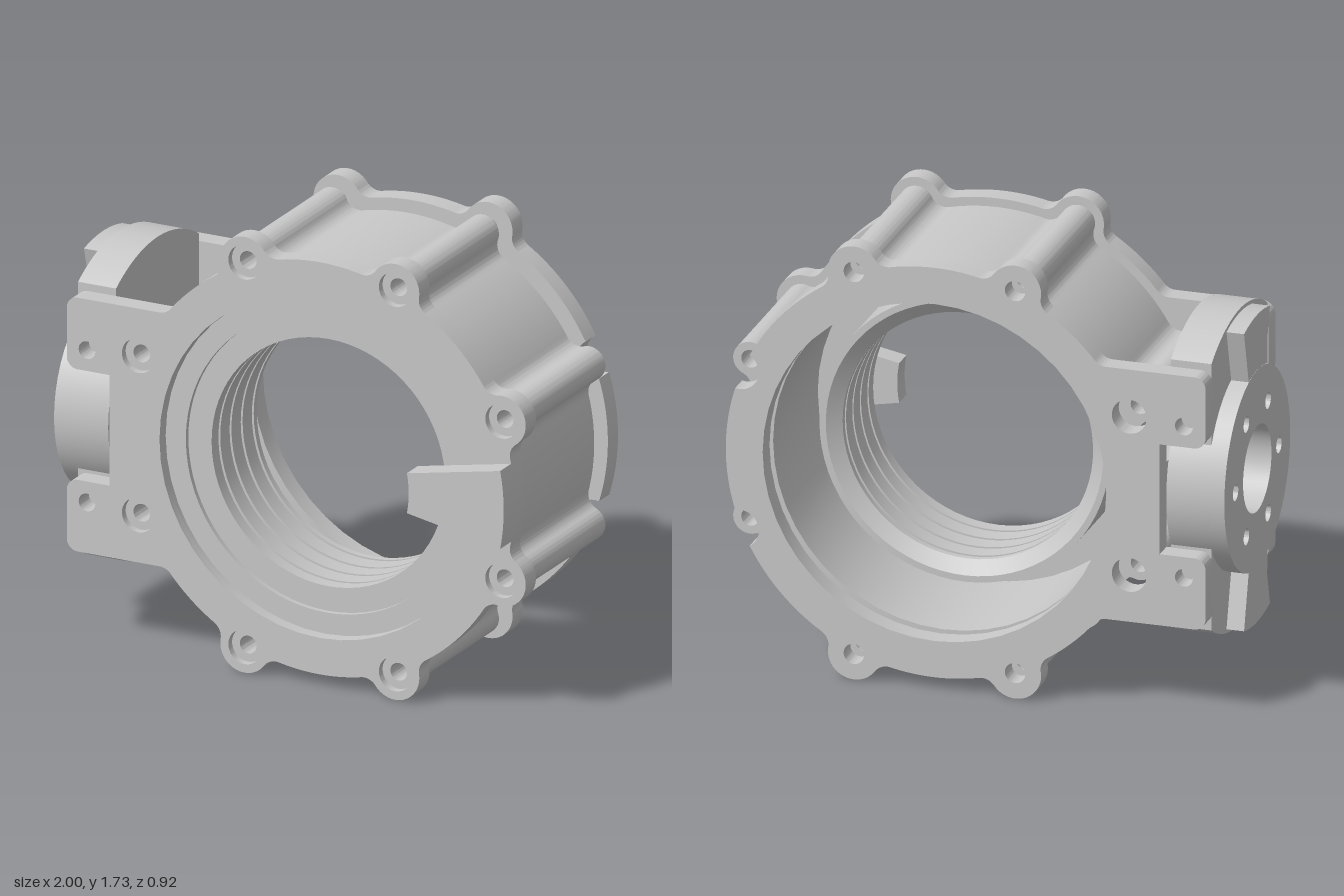
import * as THREE from 'three';
import { toCreasedNormals } from 'three/addons/utils/BufferGeometryUtils.js';

const PI = Math.PI;
const rad = (d) => d * PI / 180;
const BOLT = 0.828;                       // bolt circle radius
const BORE = 0.675;                       // cavity radius
const polar = (r, a) => [r * Math.cos(a), r * Math.sin(a)];
const dir = (a, b) => Math.atan2(b[1] - a[1], b[0] - a[0]);
const boltAngle = (k) => rad(22.5 + 45 * k);

// Rounded screw lobe blended into a ring; returns the angle where the ring resumes
function addLobe(s, from, a, R, r, f) {
  const phi = Math.acos((BOLT ** 2 + (R + f) ** 2 - (r + f) ** 2) / (2 * BOLT * (R + f)));
  const L = polar(BOLT, a), A = polar(R + f, a - phi), B = polar(R + f, a + phi);
  s.absarc(0, 0, R, from, a - phi, false);
  s.absarc(A[0], A[1], f, a - phi + PI, dir(A, L), true);
  s.absarc(L[0], L[1], r, dir(L, A), dir(L, B), false);
  s.absarc(B[0], B[1], f, dir(B, L), a + phi + PI, true);
  return a + phi;
}

// Concave clearance notch cut in a ring
function addNotch(s, from, a, R, n) {
  const phi = Math.acos((BOLT ** 2 + R ** 2 - n ** 2) / (2 * BOLT * R));
  const L = polar(BOLT, a), A = polar(R, a - phi), B = polar(R, a + phi);
  s.absarc(0, 0, R, from, a - phi, false);
  s.absarc(L[0], L[1], n, dir(L, A), dir(L, B), true);
  return a + phi;
}

// Forked arm reaching towards -x
function addArm(s, from, R) {
  const f = 0.06, h = 0.505, n = 0.22, left = -1.065, c = 0.045;
  const cy = h + f, cx = -Math.sqrt((R + f) ** 2 - cy ** 2);
  const a = Math.atan2(cy, cx);
  s.absarc(0, 0, R, from, a, false);
  s.absarc(cx, cy, f, a + PI, 1.5 * PI, true);
  s.absarc(left + c, h - c, c, PI / 2, PI, false);
  s.absarc(left + c, n + c, c, PI, 1.5 * PI, false);
  s.lineTo(-0.885, n);
  s.lineTo(-0.885, -n);
  s.absarc(left + c, -n - c, c, PI / 2, PI, false);
  s.absarc(left + c, -h + c, c, PI, 1.5 * PI, false);
  s.absarc(cx, -cy, f, PI / 2, -a + PI, true);
  return 2 * PI - a;
}

function addHole(s, x, y, r) {
  const p = new THREE.Path();
  p.absarc(x, y, r, 0, 2 * PI, true);
  s.holes.push(p);
}

function plateShape(notched, holeRadius, armHoleRadius) {
  const s = new THREE.Shape(), R = 0.82;
  const lobe = (from, d) => addLobe(s, from, rad(d), R, 0.102, 0.06);
  const side = (from, d) => notched ? addNotch(s, from, rad(d), R, 0.075) : lobe(from, d);
  let a = side(0, 22.5);
  for (const d of [67.5, 112.5]) a = lobe(a, d);
  a = addArm(s, a, R);
  for (const d of [247.5, 292.5]) a = lobe(a, d);
  a = side(a, 337.5);
  s.absarc(0, 0, R, a, 2 * PI, false);
  addHole(s, 0, 0, BORE);
  for (let k = 0; k < 8; k++) {
    if (notched && (k === 0 || k === 7)) continue;
    addHole(s, ...polar(BOLT, boltAngle(k)), k === 3 || k === 4 ? armHoleRadius : holeRadius);
  }
  for (const y of [0.303, -0.303]) addHole(s, -0.98, y, 0.035);
  return s;
}

// Ring with eight lobes, and a rib with an inner keyway on the hub side
function bodyShape() {
  const s = new THREE.Shape(), R = 0.785, half = 0.09;
  let a = 0;
  for (let k = 0; k < 8; k++) {
    a = addLobe(s, a, boltAngle(k), R, 0.067, 0.06);
    if (k === 3) {
      s.absarc(0, 0, R, a, PI - half, false);
      s.lineTo(-0.845, 0.07);
      s.lineTo(-0.845, -0.07);
      a = PI + half;
    }
  }
  s.absarc(0, 0, R, a, 2 * PI, false);
  const cavity = new THREE.Path();
  cavity.absarc(0, 0, BORE, PI - 0.03, -PI + 0.03, true);
  cavity.lineTo(-0.73, -0.02);
  cavity.lineTo(-0.73, 0.02);
  s.holes.push(cavity);
  for (let k = 0; k < 8; k++) addHole(s, ...polar(BOLT, boltAngle(k)), 0.035);
  return s;
}

function sector(r0, r1, mid, half) {
  const s = new THREE.Shape();
  s.absarc(0, 0, r1, mid - half, mid + half, false);
  s.absarc(0, 0, r0, mid + half, mid - half, true);
  return s;
}

const lathe = (pts, n) =>
  new THREE.LatheGeometry(pts.map((p) => new THREE.Vector2(...p)), n).rotateX(PI / 2);

export function createModel() {
  const model = new THREE.Group();
  const metal = new THREE.MeshStandardMaterial({ color: 0xc8c8c8 });
  metal.name = 'grey metal';

  const add = (parent, name, geo) => {
    const m = new THREE.Mesh(toCreasedNormals(geo, 0.5), metal);
    m.name = name;
    parent.add(m);
    return m;
  };
  const extrude = (parent, name, shape, z0, z1) => {
    const geo = new THREE.ExtrudeGeometry(shape, { depth: z1 - z0, bevelEnabled: false, curveSegments: 24 });
    return add(parent, name, geo.translate(0, 0, z0));
  };

  // Ring housing, centred on the bore axis
  const housing = new THREE.Group();
  housing.name = 'housing';
  housing.position.set(0.132, 0.868, 0);
  model.add(housing);
  extrude(housing, 'body', bodyShape(), -0.335, 0.293);
  extrude(housing, 'frontPlateBase', plateShape(false, 0.035, 0.035), 0.293, 0.345);
  extrude(housing, 'frontPlateCounterbores', plateShape(false, 0.068, 0.068), 0.345, 0.375);
  extrude(housing, 'backPlate', plateShape(true, 0.04, 0.068), -0.46, -0.378);
  extrude(housing, 'pointerTab', sector(0.42, 0.82, 0, rad(10.9)), 0.375, 0.463);

  // Drilled bottoms of the blind screw holes
  for (let k = 0; k < 8; k++) {
    const plug = lathe([[0, -0.18], [0.036, -0.2], [0.036, 0.2], [0.018, 0.16], [0, 0.16]], 24);
    add(housing, 'screwHoleBottom', plug).position.set(...polar(BOLT, boltAngle(k)), 0);
  }

  // Recessed front ring and grooved inner collar with a chamfered rear lip
  const pts = [[0.68, 0.2], [0.68, 0.325], [0.59, 0.325], [0.59, 0.305], [0.492, 0.305]];
  for (const z of [0.25, 0.16, 0.07, -0.02]) {
    pts.push([0.492, z], [0.505, z], [0.505, z - 0.015], [0.492, z - 0.015]);
  }
  pts.push([0.492, -0.06], [0.545, -0.1], [0.57, -0.1], [0.57, 0.2], [0.68, 0.2]);
  add(housing, 'collar', lathe(pts, 72));

  // Side hub held between the arms; its local z axis points towards -x
  const hub = new THREE.Group();
  hub.name = 'hub';
  hub.position.set(-0.77, 0.868, -0.045);
  hub.rotation.y = -PI / 2;
  model.add(hub);

  const block = new THREE.Shape(), a = Math.acos(0.335 / 0.63);
  block.absarc(0, 0, 0.63, a, PI - a, false);
  block.absarc(0, 0, 0.63, PI + a, 2 * PI - a, false);
  addHole(block, 0, 0, 0.17);
  extrude(hub, 'hubBlock', block, 0, 0.16);

  const disc = new THREE.Shape();
  disc.absarc(0, 0, 0.395, 0, 2 * PI, false);
  addHole(disc, 0, 0, 0.17);
  for (let k = 0; k < 6; k++) addHole(disc, ...polar(0.26, k * PI / 3), 0.033);
  extrude(hub, 'hubDisc', disc, 0.002, 0.23);

  for (const mid of [PI / 2, -PI / 2]) {
    extrude(hub, 'hubKey', sector(0.385, 0.615, mid, rad(14.6)), 0.155, 0.229);
  }
  return model;
}
